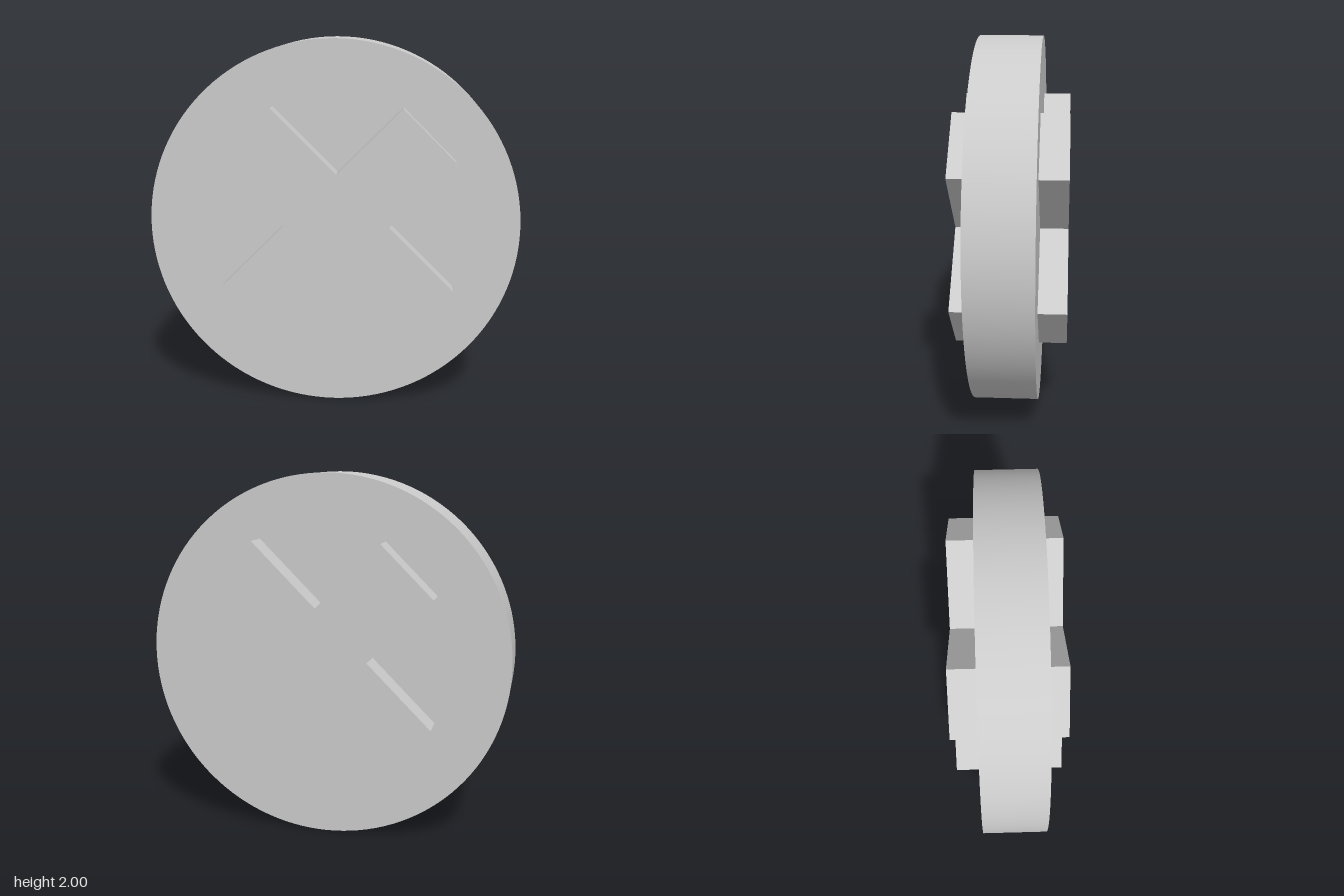
import * as THREE from 'three';

export function createModel() {
  const group = new THREE.Group();
  const material = new THREE.MeshStandardMaterial({ color: 0xcccccc });

  // Upright round disc, slightly thicker towards the front
  const back = -0.15, front = 0.19;
  const disc = new THREE.Mesh(new THREE.CylinderGeometry(1, 1, front - back, 128), material);
  disc.name = 'disc';
  disc.rotation.x = Math.PI / 2;
  disc.position.set(0, 1, (front + back) / 2);
  group.add(disc);

  // Diagonal cross running through the disc, standing proud on both faces
  const L = 0.685, w = 0.197, depth = 0.6;
  const points = [];
  for (let i = 0; i < 4; i++) {
    for (const [x, y] of [[L, -w], [L, w], [w, w]]) {
      points.push(new THREE.Vector2(x, y).rotateAround(new THREE.Vector2(), i * Math.PI / 2));
    }
  }
  const geometry = new THREE.ExtrudeGeometry(new THREE.Shape(points), { depth, bevelEnabled: false });
  geometry.translate(0, 0, -depth / 2);
  const cross = new THREE.Mesh(geometry, material);
  cross.name = 'raisedCross';
  cross.rotation.z = Math.PI / 4;
  cross.position.set(0.0225, 1.025, 0);
  group.add(cross);

  return group;
}
